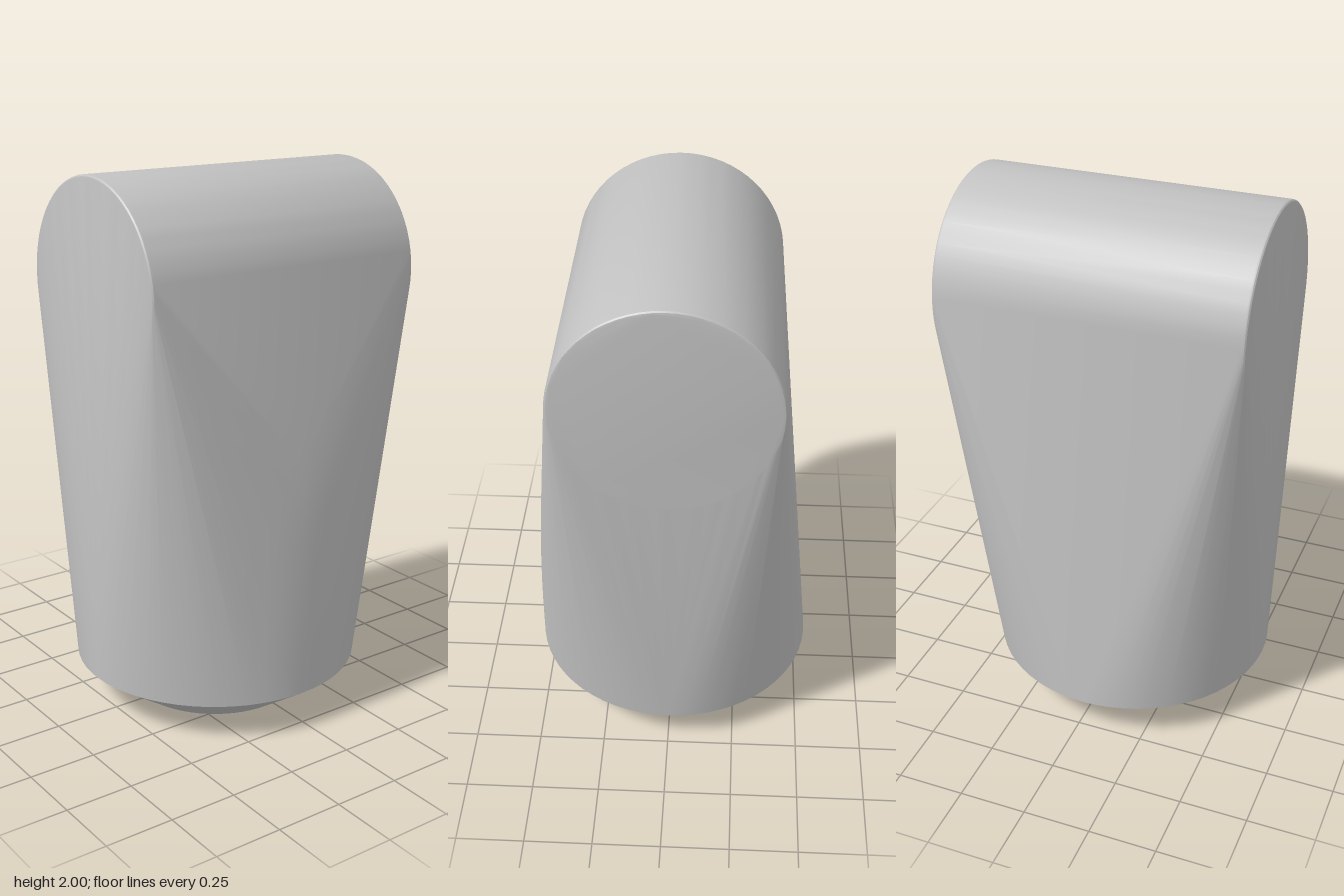
import * as THREE from 'three';
import { ConvexGeometry } from 'three/addons/geometries/ConvexGeometry.js';
import { toCreasedNormals } from 'three/addons/utils/BufferGeometryUtils.js';

const CX = -0.04; // axis of the round foot
const SEGMENTS = 64;

export function createModel() {
  const group = new THREE.Group();
  const grey = new THREE.MeshStandardMaterial({ color: 0xc0c0c0 });
  grey.name = 'light grey';

  const points = [];
  const add = (x, y, z) => points.push(new THREE.Vector3(x, y, z));
  const ring = (place) => {
    for (let i = 0; i < SEGMENTS; i++) {
      const a = (i / SEGMENTS) * Math.PI * 2;
      place(Math.cos(a), Math.sin(a));
    }
  };
  const footRing = (y, r) => ring((c, s) => add(CX + r * c, y, r * s));
  const headRing = (x, r) => ring((c, s) => add(x, 1.61 + r * s, r * c));

  // round foot with a bevel underneath
  footRing(0, 0.325);
  footRing(0.145, 0.537);

  // horizontal round head, its end rims slightly softened
  const rim = 0.012;
  for (const [end, dir] of [[0.572, 1], [-0.56, -1]]) {
    for (let i = 0; i <= 3; i++) {
      const a = (i / 3) * Math.PI / 2;
      headRing(end - dir * rim * (1 - Math.sin(a)), 0.39 - rim * (1 - Math.cos(a)));
    }
  }

  // gentle bulge down the front, flattening towards the head
  const bulge = new THREE.SplineCurve([
    [0.145, 0.537], [0.4, 0.533], [0.65, 0.522], [0.9, 0.502],
    [1.2, 0.459], [1.4, 0.425], [1.61, 0.39],
  ].map(([y, z]) => new THREE.Vector2(y, z)));
  for (const p of bulge.getPoints(16).slice(1, -1)) {
    const t = (p.x - 0.145) / 1.465;
    for (let i = -3; i <= 3; i++) {
      const dx = i * 0.05;
      const drop = 0.537 - Math.sqrt(0.537 ** 2 - dx * dx);
      add(CX * (1 - t) + dx, p.x, p.y - drop * (1 - t));
    }
  }

  // one taut skin over foot, head and bulge
  const body = new THREE.Mesh(toCreasedNormals(new ConvexGeometry(points), 0.35), grey);
  body.name = 'body';
  group.add(body);
  return group;
}
